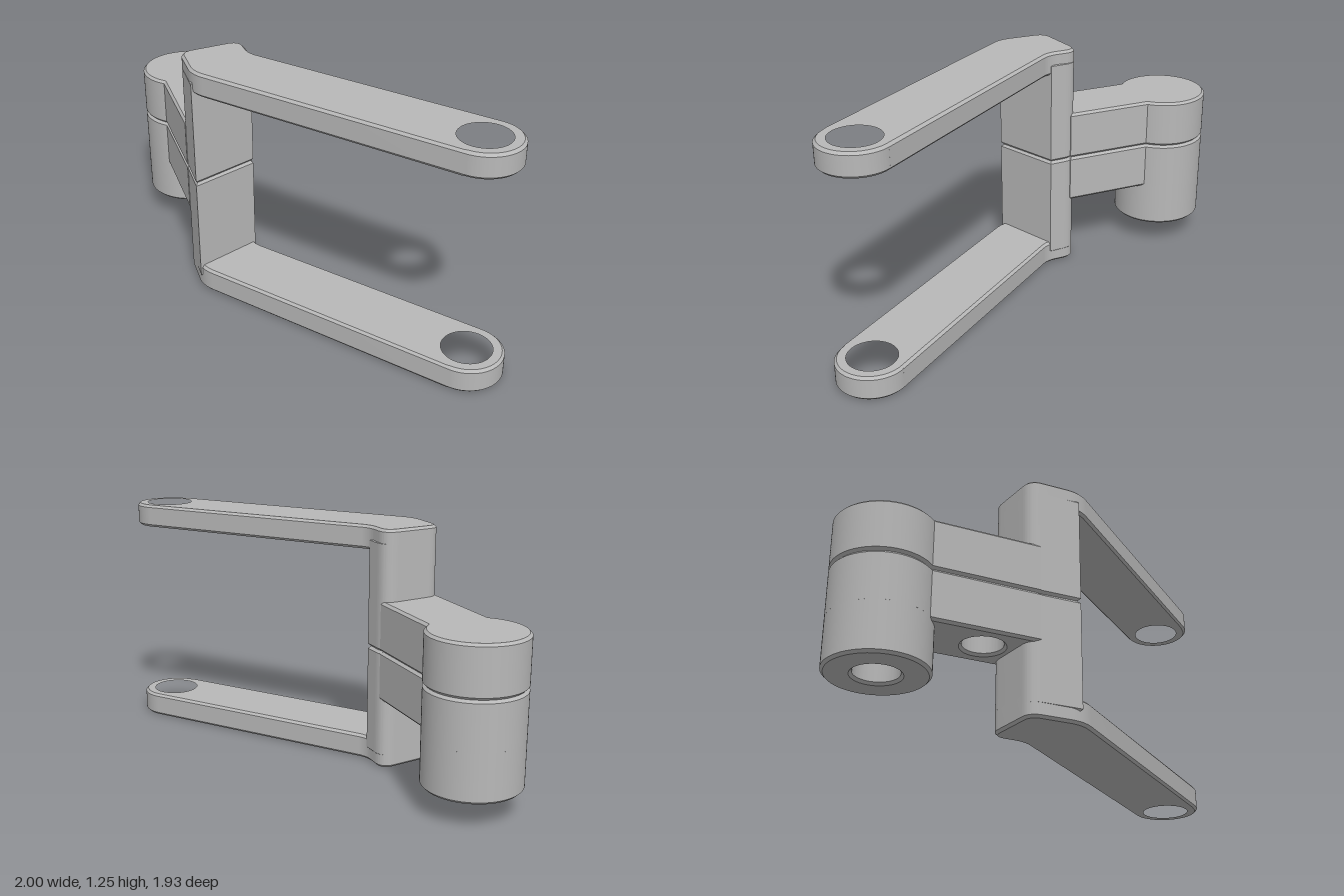
import * as THREE from 'three';
import { toCreasedNormals } from 'three/addons/utils/BufferGeometryUtils.js';

const CHAMFER = 0.013;
const SEAM = 0.627;                     // height of the joint between the halves
const TIP = [0.82, 0.785], TIP_R = 0.18;      // eye at the end of each fork arm
const KNUCKLE = [-0.755, -0.725], KNUCKLE_R = 0.245;
const NECK_HALF = 0.168, NECK_DIR = THREE.MathUtils.degToRad(67.3);

// Rounded back corners shared by the post and the fork arms: x, z, rounding
const BACK_RIGHT = [-0.365, -0.23, 0.085];
const BACK_LEFT = [-0.65, -0.05, 0.065];

// Point at distance d from p towards q
function toward(p, q, d) {
  const l = Math.hypot(q[0] - p[0], q[1] - p[1]);
  return [p[0] + (q[0] - p[0]) * d / l, p[1] + (q[1] - p[1]) * d / l];
}

// Continues a plan outline through points, rounding those with a third value
function trace(shape, points) {
  points.forEach((p, i) => {
    if (!p[2]) return shape.lineTo(p[0], p[1]);
    shape.lineTo(...toward(p, points[i - 1], p[2]));
    shape.quadraticCurveTo(p[0], p[1], ...toward(p, points[i + 1], p[2]));
  });
  return shape;
}

function addHole(shape, x, z, r) {
  shape.holes.push(new THREE.Path().absarc(x, z, r, 0, Math.PI * 2, true));
  return shape;
}

// Fork arm plan: round eye, straight sides and the bend over the post
function armPlan() {
  const shape = new THREE.Shape();
  shape.absarc(...TIP, TIP_R, Math.PI * 2 / 3, -Math.PI / 3, true);
  trace(shape, [[0.91, 0.629], [-0.295, -0.066, 0.05], BACK_RIGHT, BACK_LEFT,
    [-0.547, 0.205, 0.07], [0.73, 0.941]]);
  return addHole(shape, ...TIP, 0.137);
}

// Post plan: rounded at the back, flat on the inner face
function postPlan() {
  const shape = new THREE.Shape();
  shape.moveTo(-0.294, -0.08);
  return trace(shape, [[-0.294, -0.08], BACK_RIGHT, BACK_LEFT, [-0.552, 0.198]]);
}

// Knuckle disc with the neck that runs into the post
function neckPlan() {
  const spread = Math.asin(NECK_HALF / KNUCKLE_R);
  const c = Math.cos(NECK_DIR), s = Math.sin(NECK_DIR);
  const at = (along, side) => [KNUCKLE[0] + c * along + s * side, KNUCKLE[1] + s * along - c * side];
  const shape = new THREE.Shape();
  shape.absarc(...KNUCKLE, KNUCKLE_R, NECK_DIR + spread, NECK_DIR - spread + Math.PI * 2, false);
  return trace(shape, [at(0.65, NECK_HALF), at(0.72, -NECK_HALF)]);
}

// Chamfered slab standing on a plan, from y0 to y1
function slab(name, shape, y0, y1, material) {
  let geometry = new THREE.ExtrudeGeometry(shape, {
    depth: y1 - y0 - 2 * CHAMFER, curveSegments: 40,
    bevelThickness: CHAMFER, bevelSize: CHAMFER, bevelOffset: -CHAMFER, bevelSegments: 1,
  });
  geometry.rotateX(Math.PI / 2);
  geometry.translate(0, y1 - CHAMFER, 0);
  geometry = toCreasedNormals(geometry, 0.4);
  const mesh = new THREE.Mesh(geometry, material);
  mesh.name = name;
  return mesh;
}

export function createModel() {
  const grey = new THREE.MeshStandardMaterial({ color: 0xb8b8b8 });
  grey.name = 'grey';
  const model = new THREE.Group();
  model.name = 'forkedHingeBracket';

  // Upper half: blank knuckle
  const upper = new THREE.Group();
  upper.name = 'upperHalf';
  upper.add(
    slab('upperArm', armPlan(), 1.127, 1.25, grey),
    slab('upperPost', postPlan(), SEAM, 1.19, grey),
    slab('upperNeck', neckPlan(), SEAM, 0.885, grey),
  );

  // Lower half: longer knuckle, with bores open underneath
  const lower = new THREE.Group();
  lower.name = 'lowerHalf';
  const boredNeck = neckPlan();
  addHole(boredNeck, ...KNUCKLE, 0.108);
  addHole(boredNeck, -0.565, -0.265, 0.1);
  const barrel = new THREE.Shape().absarc(...KNUCKLE, KNUCKLE_R, 0, Math.PI * 2, false);
  addHole(barrel, ...KNUCKLE, 0.108);
  lower.add(
    slab('lowerArm', armPlan(), 0, 0.127, grey),
    slab('lowerPost', postPlan(), 0.06, SEAM, grey),
    slab('lowerNeck', boredNeck, 0.37, SEAM, grey),
    slab('knuckleBarrel', barrel, 0.135, SEAM, grey),
  );

  model.add(upper, lower);
  return model;
}
